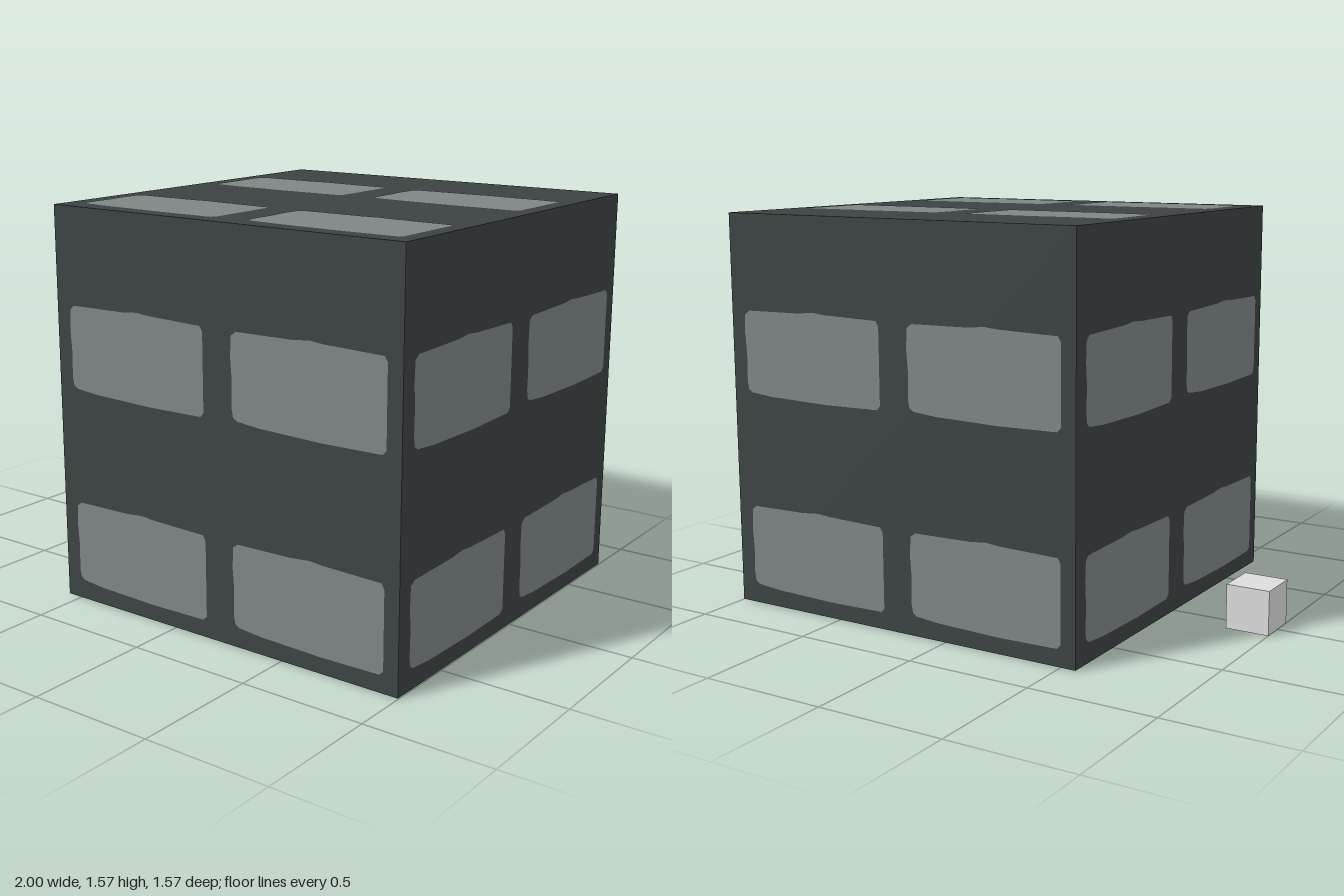
import * as THREE from 'three';

const SIZE = 1.565, HALF = SIZE / 2, LIFT = 0.002;

// Slightly uneven rounded outline of one panel, centred on its own origin
const OUTLINE = [
  [-0.328, 0.073], [-0.324, 0.149], [-0.303, 0.165], [-0.06, 0.169], [0.015, 0.176],
  [0.07, 0.171], [0.316, 0.165], [0.328, 0.145], [0.328, -0.153], [0.312, -0.169],
  [0.07, -0.173], [-0.2, -0.167], [-0.3, -0.158], [-0.318, -0.146], [-0.324, -0.115], [-0.322, -0.01],
];

export function createModel() {
  const dark = new THREE.MeshStandardMaterial({ name: 'darkSlate', color: 0x3c4242 });
  const grey = new THREE.MeshStandardMaterial({ name: 'panelGrey', color: 0x7d8585 });
  const light = new THREE.MeshStandardMaterial({ name: 'lightGrey', color: 0xdcdcdc });
  const model = new THREE.Group();
  model.name = 'blocks';

  // Large block
  const block = new THREE.Group();
  block.name = 'largeBlock';
  block.position.set(1 - HALF, HALF, 0);
  model.add(block);
  const side = SIZE - 2 * LIFT;
  const body = new THREE.Mesh(new THREE.BoxGeometry(side, side, side), dark);
  body.name = 'blockBody';
  block.add(body);

  // Four painted panels on each face, given by its normal and its up direction
  const panelGeometry = new THREE.ShapeGeometry(
    new THREE.Shape(OUTLINE.map(([x, y]) => new THREE.Vector2(x, y))));
  const faces = [
    ['front', [0, 0, 1], [0, 1, 0]], ['back', [0, 0, -1], [0, 1, 0]],
    ['left', [1, 0, 0], [0, 1, 0]], ['right', [-1, 0, 0], [0, 1, 0]],
    ['top', [0, 1, 0], [0, 0, -1]], ['bottom', [0, -1, 0], [0, 0, -1]],
  ];
  for (const [name, n, u] of faces) {
    const normal = new THREE.Vector3(...n), up = new THREE.Vector3(...u);
    const across = up.clone().cross(normal);
    const face = new THREE.Group();
    face.name = name + 'Panels';
    face.quaternion.setFromRotationMatrix(new THREE.Matrix4().makeBasis(across, up, normal));
    for (const x of [-0.389, 0.393]) {
      for (const y of [-0.544, 0.239]) {
        const panel = new THREE.Mesh(panelGeometry, grey);
        panel.name = 'panel';
        panel.position.set(x, y, HALF);
        face.add(panel);
      }
    }
    block.add(face);
  }

  // Small plain cube beside it
  const s = 0.175;
  const cube = new THREE.Mesh(new THREE.BoxGeometry(s, s, s), light);
  cube.name = 'smallCube';
  cube.position.set(-1 + s / 2, s / 2, 0);
  model.add(cube);
  return model;
}
